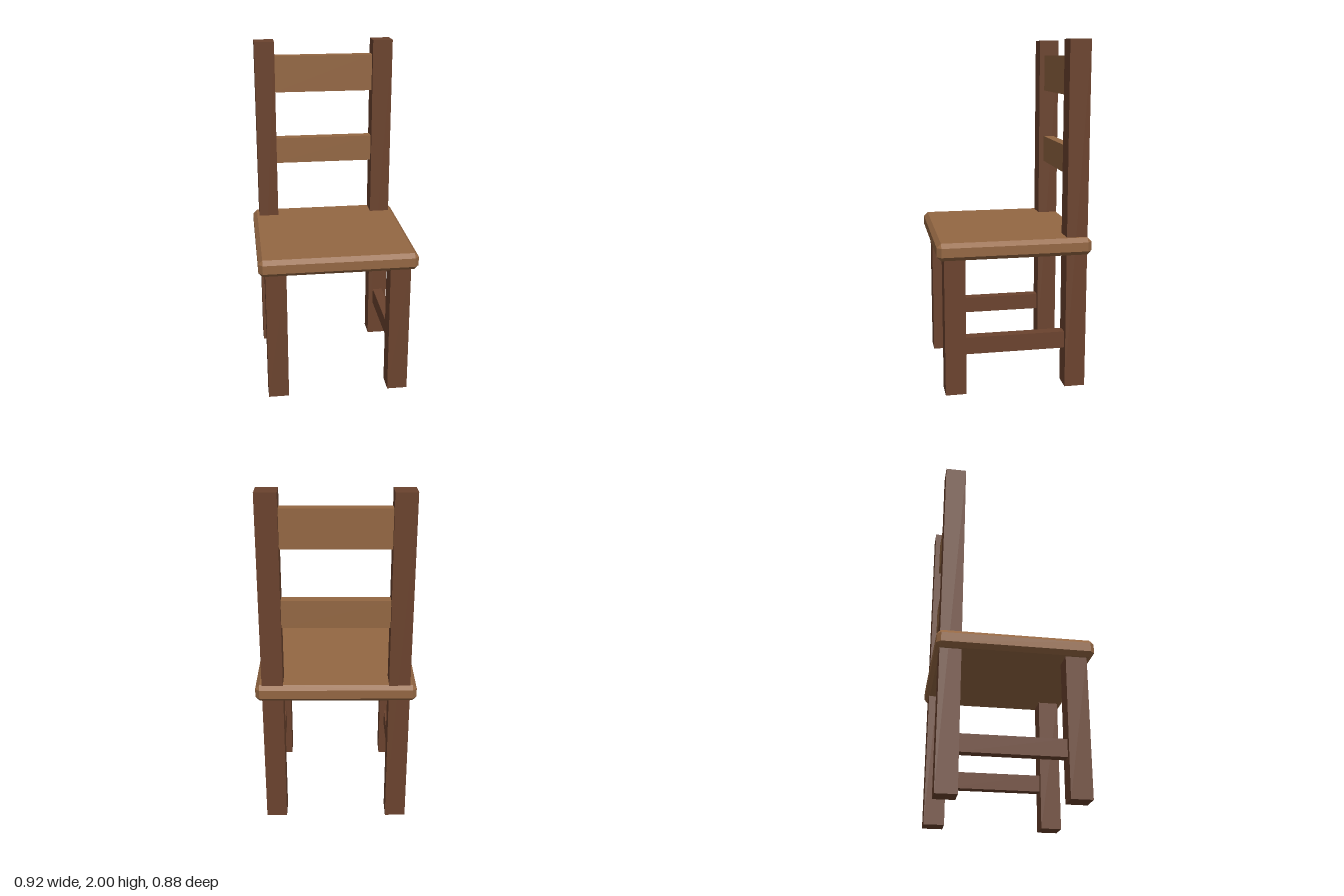
import * as THREE from 'three';
import { ConvexGeometry } from 'three/addons/geometries/ConvexGeometry.js';

// Box with every edge and corner chamfered by c
function chamferedBox(hx, hy, hz, c) {
  const points = [];
  for (const sx of [-1, 1]) for (const sy of [-1, 1]) for (const sz of [-1, 1]) {
    points.push(
      new THREE.Vector3(sx * hx, sy * (hy - c), sz * (hz - c)),
      new THREE.Vector3(sx * (hx - c), sy * hy, sz * (hz - c)),
      new THREE.Vector3(sx * (hx - c), sy * (hy - c), sz * hz),
    );
  }
  return new ConvexGeometry(points);
}

export function createModel() {
  const chair = new THREE.Group();
  chair.name = 'chair';
  const lightWood = new THREE.MeshStandardMaterial({ color: 0x946743 });
  lightWood.name = 'lightWood';
  const darkWood = new THREE.MeshStandardMaterial({ color: 0x6b432e });
  darkWood.name = 'darkWood';

  function add(name, geometry, material, x, y, z) {
    const mesh = new THREE.Mesh(geometry, material);
    mesh.name = name;
    mesh.position.set(x, y, z);
    chair.add(mesh);
  }
  const box = (w, h, d) => new THREE.BoxGeometry(w, h, d);

  // Seat
  add('seat', chamferedBox(0.458, 0.05, 0.44, 0.024), lightWood, 0, 0.85, 0);

  // Legs, back posts and side stretchers
  for (const [side, s] of [['left', 1], ['right', -1]]) {
    add(side + 'BackPost', box(0.12, 2, 0.12), darkWood, s * 0.36, 1, -0.36);
    add(side + 'FrontLeg', box(0.12, 0.81, 0.12), darkWood, s * 0.36, 0.405, 0.34);
    add(side + 'Stretcher', box(0.06, 0.1, 0.58), darkWood, s * 0.36, 0.28, -0.01);
  }

  // Backrest slats
  add('topSlat', box(0.6, 0.22, 0.06), lightWood, 0, 1.8, -0.36);
  add('lowerSlat', box(0.6, 0.16, 0.06), lightWood, 0, 1.32, -0.36);

  return chair;
}
